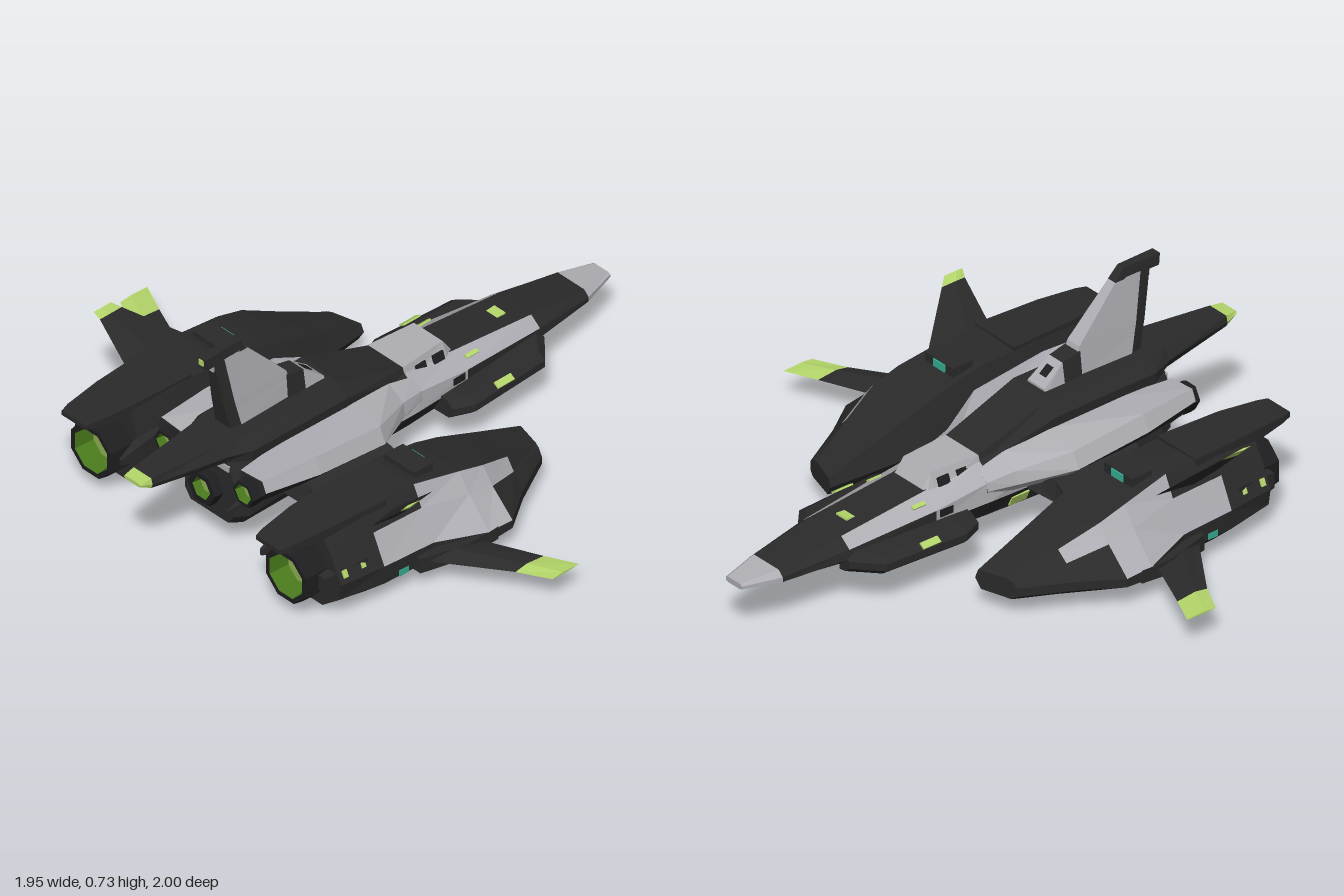
import * as THREE from 'three';

const mat = (name, color, side = THREE.FrontSide) =>
  Object.assign(new THREE.MeshStandardMaterial({ color, flatShading: true, side }), { name });

export function createModel() {
  const ship = new THREE.Group();
  ship.name = 'starfighter';
  const dark = mat('charcoal hull', 0x2a2a2a);
  const grey = mat('grey panel', 0xaeaeb4);
  const green = mat('lime marking', 0xb4d66a, THREE.DoubleSide);
  const disc = mat('engine glow', 0x8fb052, THREE.DoubleSide);
  const lining = mat('engine lining', 0x4a7a1c, THREE.DoubleSide);
  const black = mat('dark metal', 0x1e1e20, THREE.DoubleSide);
  const teal = mat('teal lamp', 0x35b095);

  // Skin a row of rings; paint(segment, side) picks the material, caps use side -1
  function loft(name, rings, paint) {
    const pick = typeof paint === 'function' ? paint : () => paint;
    const buckets = new Map();
    let volume = 0;
    const tri = (m, ...p) => {
      const [a, b, c] = p.map(q => new THREE.Vector3(...q));
      volume += a.dot(b.clone().cross(c));
      if (!buckets.has(m)) buckets.set(m, []);
      buckets.get(m).push([a, b, c]);
    };
    const n = rings[0].length, last = rings.length - 1;
    for (let s = 0; s < last; s++) {
      for (let i = 0; i < n; i++) {
        const j = (i + 1) % n, a = rings[s], b = rings[s + 1], m = pick(s, i);
        tri(m, a[i], a[j], b[i]);
        tri(m, a[j], b[j], b[i]);
      }
    }
    for (let i = 1; i < n - 1; i++) {
      tri(pick(0, -1), rings[0][0], rings[0][i + 1], rings[0][i]);
      tri(pick(last - 1, -1), rings[last][0], rings[last][i], rings[last][i + 1]);
    }
    const pos = [], geo = new THREE.BufferGeometry(), mats = [...buckets.keys()];
    mats.forEach((m, k) => {
      const start = pos.length / 3;
      for (const [a, b, c] of buckets.get(m))
        for (const v of volume > 0 ? [a, b, c] : [a, c, b]) pos.push(v.x, v.y, v.z);
      geo.addGroup(start, pos.length / 3 - start, k);
    });
    geo.setAttribute('position', new THREE.Float32BufferAttribute(pos, 3));
    geo.computeVertexNormals();
    const mesh = new THREE.Mesh(geo, mats.length > 1 ? mats : mats[0]);
    mesh.name = name;
    ship.add(mesh);
  }
  // The same loft on both flanks
  const pair = (name, rings, paint) => {
    loft(name + 'Left', rings, paint);
    loft(name + 'Right', rings.map(r => r.map(([x, y, z]) => [-x, y, z])), paint);
  };
  const ring = (z, pts, shear = 0) => pts.map(([x, y]) => [x, y, z + shear * (x - 0.43)]);
  const sym = (z, half) => ring(z, [...half, ...half.map(([x, y]) => [-x, y]).reverse()]);
  const rect = (z, x0, x1, y0, y1) => ring(z, [[x0, y0], [x1, y0], [x1, y1], [x0, y1]]);
  // Diamond-section blade station, thickened along (nx, ny)
  const blade = (x, y, zf, zb, t, nx, ny) => {
    const zm = zf * 0.4 + zb * 0.6;
    return [[x, y, zf], [x + nx * t, y + ny * t, zm], [x, y, zb], [x - nx * t, y - ny * t, zm]];
  };
  const box = (name, m, w, h, d, x, y, z, rz = 0, rx = 0) => {
    const b = new THREE.Mesh(new THREE.BoxGeometry(w, h, d), m);
    b.name = name;
    b.position.set(x, y, z);
    b.rotation.set(rx, 0, rz);
    ship.add(b);
  };
  const boxes = (name, m, w, h, d, x, y, z, rz = 0) => {
    box(name + 'Left', m, w, h, d, x, y, z, rz);
    box(name + 'Right', m, w, h, d, -x, y, z, -rz);
  };
  // Faceted nozzle: shell, lining and glowing disc
  function nozzle(name, x, y, z, len, r, inner, sides) {
    const g = new THREE.Group();
    g.name = name;
    const turn = (part, pts, m) => {
      const geo = new THREE.LatheGeometry(pts.map(p => new THREE.Vector2(...p)), sides, Math.PI / sides);
      const mesh = new THREE.Mesh(geo.rotateX(Math.PI / 2).toNonIndexed(), m);
      mesh.geometry.computeVertexNormals();
      mesh.name = part;
      g.add(mesh);
    };
    turn('shell', [[r, 0], [r, len * 0.7], [r * 0.94, len], [inner * 1.12, len]], black);
    turn('lining', [[inner * 1.12, len], [inner, len * 0.4]], lining);
    turn('disc', [[inner, len * 0.4], [0, len * 0.4]], disc);
    g.position.set(x, y, z);
    ship.add(g);
  }

  // Fuselage from nose tip to engine block
  loft('fuselage', [
    sym(-1, [[0.025, 0.18], [0.04, 0.185], [0.04, 0.195], [0.03, 0.2]]),
    sym(-0.87, [[0.05, 0.165], [0.08, 0.18], [0.08, 0.197], [0.06, 0.216]]),
    sym(-0.63, [[0.07, 0.15], [0.12, 0.19], [0.115, 0.22], [0.075, 0.252]]),
    sym(-0.3, [[0.1, 0.135], [0.14, 0.2], [0.14, 0.245], [0.075, 0.285]]),
    sym(-0.08, [[0.11, 0.13], [0.15, 0.2], [0.145, 0.27], [0.08, 0.32]]),
    sym(0.15, [[0.1, 0.115], [0.13, 0.18], [0.14, 0.28], [0.1, 0.35]]),
    sym(0.62, [[0.1, 0.11], [0.13, 0.15], [0.13, 0.3], [0.1, 0.36]]),
    sym(0.67, [[0.085, 0.125], [0.11, 0.16], [0.11, 0.29], [0.085, 0.35]]),
  ], (s, i) => s === 0 || ((s === 2 || s === 3) && (i === 2 || i === 4)) ||
    ((s === 3 || s === 4) && (i === 1 || i === 5)) ? grey : dark);
  box('sternTrim', grey, 0.18, 0.022, 0.008, 0, 0.335, 0.671);
  boxes('bellyMark', green, 0.006, 0.04, 0.07, 0.12, 0.149, 0.05, -0.43);
  boxes('flankMark', green, 0.006, 0.014, 0.05, 0.108, 0.267, -0.345, 1);
  box('noseMark', green, 0.05, 0.006, 0.035, 0, 0.261, -0.55, 0, 0.1);

  // Canopy with side windows
  loft('canopy', [
    sym(-0.295, [[0.09, 0.255], [0.066, 0.288]]),
    sym(-0.262, [[0.095, 0.26], [0.064, 0.335]]),
    sym(-0.08, [[0.1, 0.27], [0.08, 0.335]]),
  ], grey);
  for (const z of [-0.225, -0.15]) boxes('canopyWindow', black, 0.006, 0.03, 0.045, 0.085, 0.302, z, 0.34);
  boxes('cheekVent', black, 0.006, 0.025, 0.05, 0.142, 0.23, -0.26);

  // Dorsal spine and tail boom
  loft('spine', [
    sym(-0.08, [[0.09, 0.27], [0.088, 0.3], [0.078, 0.334]]),
    sym(0.2, [[0.12, 0.33], [0.125, 0.385], [0.085, 0.43]]),
    sym(0.6, [[0.12, 0.35], [0.125, 0.39], [0.085, 0.433]]),
    sym(0.68, [[0.08, 0.36], [0.095, 0.39], [0.07, 0.43]]),
    sym(0.955, [[0.04, 0.384], [0.045, 0.4], [0.04, 0.421]]),
    sym(1, [[0.03, 0.405], [0.037, 0.411], [0.033, 0.418]]),
  ], s => s === 4 ? green : dark);

  // Tail fin: grey blade, dark trailing strip and cap
  const finRows = [[0.42, 0.36, 0.61, 0.043], [0.5, 0.36, 0.628, 0.036],
    [0.53, 0.37, 0.635, 0.034], [0.7, 0.53, 0.665, 0.02]];
  const slab = (y, zf, zb, tf, tb) => [[tf, y, zf], [tb, y, zb], [-tb, y, zb], [-tf, y, zf]];
  loft('tailFin', finRows.map(([y, f, b, t]) => slab(y, f, b - 0.04, t * 0.85, t)), grey);
  loft('tailFinTrailingStrip', finRows.map(([y, f, b, t]) => slab(y, b - 0.04, b, t, t * 0.8)), dark);
  loft('tailFinCap', [slab(0.695, 0.525, 0.7, 0.018, 0.02), slab(0.735, 0.56, 0.705, 0.014, 0.018)], dark);
  box('tailFinLight', green, 0.02, 0.02, 0.006, 0, 0.72, 0.705);
  box('tailFinPlate', grey, 0.028, 0.022, 0.006, 0, 0.679, 0.664);
  loft('finFairing', [
    sym(0.22, [[0.045, 0.42], [0.04, 0.438]]),
    sym(0.3, [[0.045, 0.42], [0.032, 0.5]]),
    sym(0.37, [[0.045, 0.42], [0.034, 0.515]]),
  ], s => s ? dark : grey);
  box('fairingSlot', black, 0.03, 0.005, 0.04, 0, 0.471, 0.262, 0, -0.66);

  // Forward side pods
  const podPts = w => [[0.08, 0.14], [w - 0.02, 0.143], [w, 0.16], [w, 0.185], [w - 0.03, 0.205], [0.08, 0.215]];
  pair('sidePod', [ring(-0.64, podPts(0.125)), ring(-0.56, podPts(0.212)),
    ring(-0.25, podPts(0.23)), ring(-0.18, podPts(0.2))], dark);
  boxes('podMark', green, 0.024, 0.006, 0.07, 0.213, 0.197, -0.385, -0.6);

  // Grey shoulders with small engines
  pair('shoulder', [
    ring(-0.1, [[0.1, 0.21], [0.14, 0.21], [0.148, 0.24], [0.144, 0.27], [0.1, 0.3]]),
    ring(0.0, [[0.1, 0.2], [0.15, 0.21], [0.175, 0.24], [0.165, 0.285], [0.1, 0.325]]),
    ring(0.17, [[0.1, 0.2], [0.19, 0.21], [0.265, 0.27], [0.24, 0.325], [0.11, 0.35]]),
    ring(0.45, [[0.1, 0.22], [0.19, 0.22], [0.27, 0.3], [0.245, 0.355], [0.11, 0.355]]),
    ring(0.66, [[0.13, 0.265], [0.18, 0.24], [0.245, 0.32], [0.228, 0.358], [0.13, 0.35]]),
  ], (s, i) => i === 2 || i === 3 || (s < 2 && i >= 0) ? grey : dark);
  pair('shoulderSpike', [rect(0.6, 0.135, 0.175, 0.22, 0.26), rect(0.74, 0.15, 0.156, 0.24, 0.245)], dark);

  // Struts joining hull and nacelles
  pair('strut', [
    [[0.1, 0.2, 0.05], [0.1, 0.27, 0.08], [0.1, 0.27, 0.48], [0.1, 0.19, 0.5]],
    [[0.22, 0.155, 0.11], [0.22, 0.225, 0.12], [0.22, 0.225, 0.45], [0.22, 0.15, 0.46]],
    [[0.34, 0.1, 0.1], [0.34, 0.17, 0.1], [0.34, 0.17, 0.48], [0.34, 0.1, 0.48]],
  ], (s, i) => i === 3 ? grey : dark);

  // Engine nacelles
  pair('nacelle', [
    ring(-0.295, [[0.37, 0.075], [0.48, 0.075], [0.5, 0.09], [0.5, 0.12], [0.48, 0.14], [0.46, 0.145], [0.36, 0.14], [0.35, 0.11]], 0.3),
    ring(-0.13, [[0.37, 0.046], [0.51, 0.046], [0.593, 0.092], [0.593, 0.123], [0.545, 0.17], [0.51, 0.207], [0.35, 0.202], [0.324, 0.12]], 0.15),
    ring(0.02, [[0.37, 0.02], [0.54, 0.02], [0.68, 0.095], [0.68, 0.125], [0.59, 0.208], [0.545, 0.265], [0.34, 0.26], [0.3, 0.13]]),
    ring(0.12, [[0.37, 0.005], [0.54, 0.005], [0.68, 0.09], [0.68, 0.13], [0.59, 0.228], [0.545, 0.293], [0.34, 0.29], [0.3, 0.14]]),
    ring(0.3, [[0.37, 0.005], [0.53, 0.005], [0.62, 0.09], [0.62, 0.15], [0.565, 0.255], [0.53, 0.328], [0.345, 0.322], [0.3, 0.14]]),
    ring(0.5, [[0.37, 0.01], [0.52, 0.01], [0.61, 0.09], [0.61, 0.155], [0.56, 0.26], [0.52, 0.33], [0.345, 0.322], [0.3, 0.14]]),
    ring(0.67, [[0.37, 0.04], [0.51, 0.04], [0.585, 0.1], [0.595, 0.16], [0.55, 0.25], [0.51, 0.315], [0.355, 0.315], [0.31, 0.14]]),
  ], (s, i) => (i === 4 && s > 0 && s < 4) || (i === 3 && s > 1 && s < 5) ? grey : dark);
  pair('nacelleTail', [rect(0.42, 0.345, 0.535, 0.28, 0.335), rect(0.66, 0.355, 0.52, 0.29, 0.335),
    rect(0.8, 0.375, 0.503, 0.308, 0.33), rect(0.835, 0.385, 0.492, 0.312, 0.328)], dark);
  pair('nacelleSpike', [rect(0.45, 0.3, 0.345, 0.13, 0.24), rect(0.67, 0.3, 0.335, 0.15, 0.22),
    rect(0.75, 0.312, 0.322, 0.17, 0.19)], dark);
  pair('nacelleFlap', [rect(0.55, 0.5, 0.59, 0.12, 0.21), rect(0.71, 0.52, 0.565, 0.135, 0.19)], dark);
  pair('topVent', [rect(0.19, 0.365, 0.5, 0.29, 0.337), rect(0.27, 0.365, 0.5, 0.29, 0.34)], dark);
  boxes('ventLamp', teal, 0.055, 0.026, 0.006, 0.43, 0.321, 0.188);
  boxes('sideLamp', teal, 0.006, 0.022, 0.04, 0.613, 0.1, 0.42);
  for (const z of [0.54, 0.57, 0.645]) boxes('nacelleMark', green, 0.006, 0.025, 0.018, 0.586, 0.19, z, 0.44);

  // Forward-swept wings on root blocks, and canted upper fins, with lime tips
  pair('wingRoot', [rect(0.08, 0.56, 0.68, 0.085, 0.13), rect(0.2, 0.56, 0.68, 0.075, 0.13),
    rect(0.37, 0.55, 0.635, 0.075, 0.13)], dark);
  pair('wing', [blade(0.6, 0.11, 0.18, 0.37, 0.022, 0, 1), blade(0.868, 0.113, 0.065, 0.185, 0.008, 0, 1),
    blade(0.975, 0.115, 0.015, 0.13, 0.004, 0, 1)], s => s ? green : dark);
  pair('upperFin', [blade(0.52, 0.25, 0.2, 0.5, 0.015, 0.7, -0.7), blade(0.677, 0.405, 0.405, 0.498, 0.006, 0.7, -0.7),
    blade(0.697, 0.427, 0.432, 0.505, 0.003, 0.7, -0.7)], s => s ? green : dark);

  // Engines
  nozzle('centreEngine', 0, 0.23, 0.655, 0.05, 0.065, 0.036, 6);
  for (const side of [1, -1]) {
    const label = side > 0 ? 'Left' : 'Right';
    nozzle('mainEngine' + label, side * 0.44, 0.16, 0.64, 0.12, 0.102, 0.07, 8);
    nozzle('smallEngine' + label, side * 0.178, 0.3, 0.645, 0.05, 0.05, 0.032, 6);
  }
  return ship;
}
